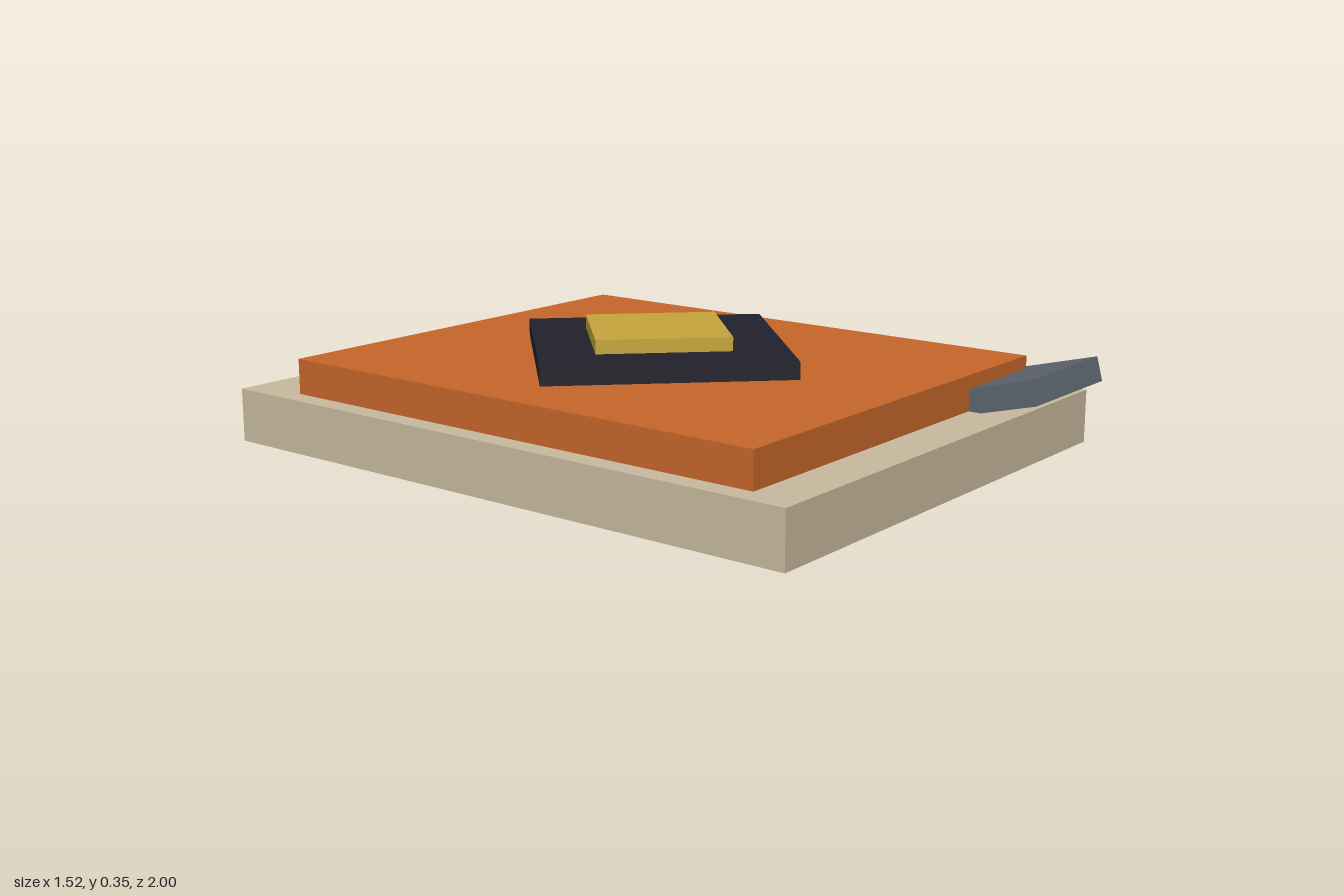
import * as THREE from 'three';

const mat = (name, color) => Object.assign(new THREE.MeshStandardMaterial({ color }), { name });

export function createModel() {
  const model = new THREE.Group();
  const stone = mat('stone', 0xc9bb9f);
  const orange = mat('orange', 0xc8672b);
  const ink = mat('ink', 0x22222c);
  const gold = mat('gold', 0xc8a63c);
  const slate = mat('slate', 0x5f6670);

  // Box given by its size, centre and material
  function block(name, [w, h, d], [x, y, z], material) {
    const mesh = new THREE.Mesh(new THREE.BoxGeometry(w, h, d), material);
    mesh.name = name;
    mesh.position.set(x, y, z);
    model.add(mesh);
    return mesh;
  }

  // Square plate turned 45 degrees, given by its half diagonal
  function diamond(name, half, y0, y1, material) {
    const side = half * Math.SQRT2;
    const mesh = block(name, [side, y1 - y0, side], [-0.028, (y0 + y1) / 2, -0.036], material);
    mesh.rotation.y = Math.PI / 4;
  }

  // Stacked slabs
  block('base', [1.518, 0.156, 1.93], [0, 0.078, -0.035], stone);
  block('panel', [1.338, 0.103, 1.61], [-0.028, 0.2075, -0.011], orange);

  // Diamond emblem
  diamond('diamondPlate', 0.5, 0.259, 0.309, ink);
  diamond('diamondInlay', 0.272, 0.309, 0.349, gold);

  // Tilted tab sunk into the front corner, its front edge raised
  const tab = block('cornerTab', [0.398, 0.072, 0.313], [0.512, 0.195, 0.839], slate);
  tab.rotation.x = -0.26;

  return model;
}
